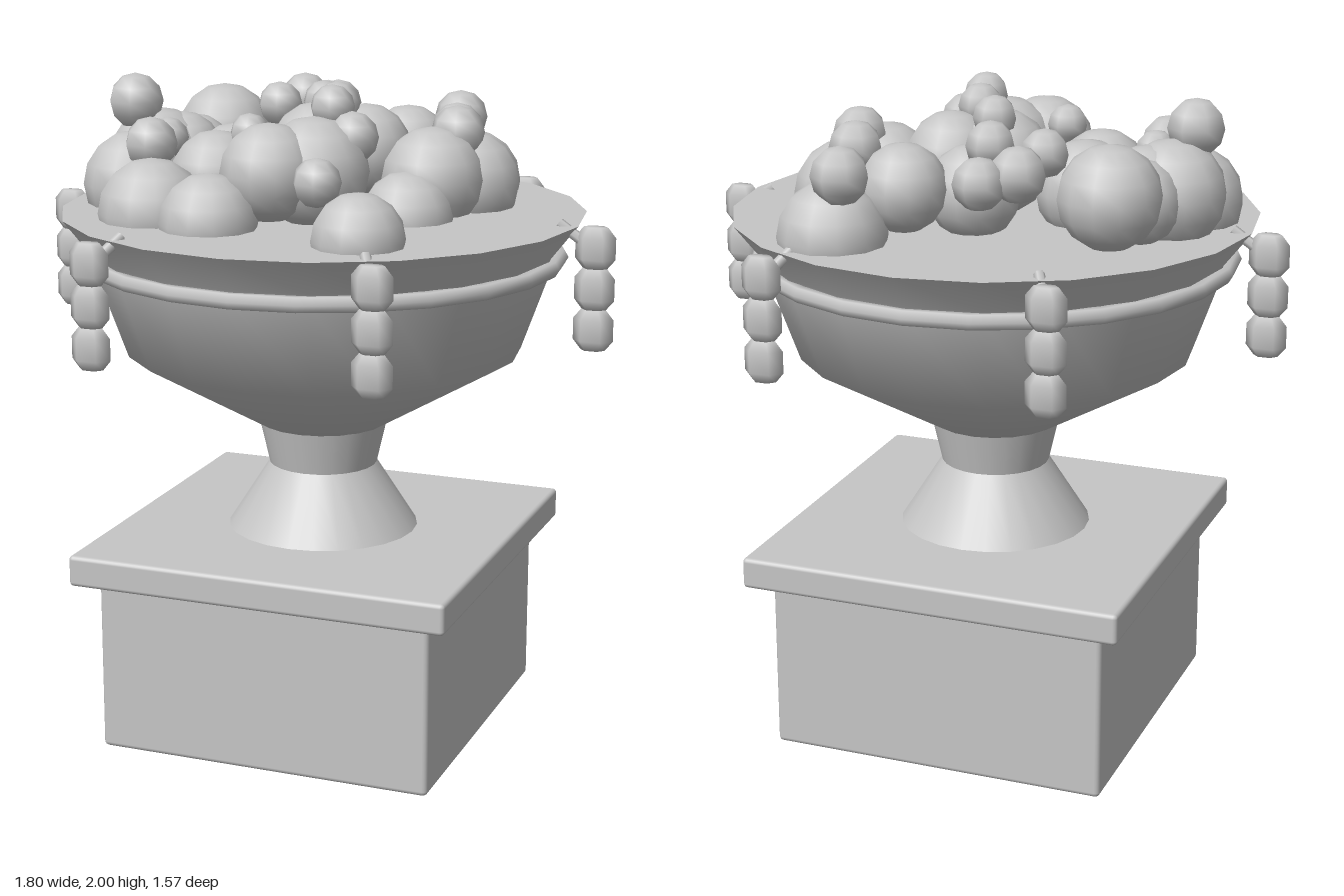
import * as THREE from 'three';
import { RoundedBoxGeometry } from 'three/addons/geometries/RoundedBoxGeometry.js';

export function createModel() {
  const group = new THREE.Group();
  const stone = new THREE.MeshStandardMaterial({ color: 0xc6c6c6 });
  stone.name = 'pale stone';

  const add = (name, geometry, x = 0, y = 0, z = 0, parent = group) => {
    const mesh = new THREE.Mesh(geometry, stone);
    mesh.name = name;
    mesh.position.set(x, y, z);
    parent.add(mesh);
    return mesh;
  };
  const lathe = (points, sides) =>
    new THREE.LatheGeometry(points.map(([r, y]) => new THREE.Vector2(r, y)), sides);

  // Square pedestal with a projecting cap
  add('pedestal', new RoundedBoxGeometry(1.04, 0.53, 1.04, 2, 0.015), 0, 0.265, 0);
  add('pedestalCap', new RoundedBoxGeometry(1.175, 0.095, 1.175, 2, 0.013), 0, 0.578, 0);

  // Flared foot and waist
  add('foot', lathe([[0.295, 0.62], [0.165, 0.825]], 24));
  add('stem', lathe([[0.165, 0.825], [0.195, 0.957]], 24));

  // Twenty-sided bowl, moulding, rim and flat top
  add('bowl', lathe([[0, 0.955], [0.195, 0.955], [0.6, 1.19], [0.7, 1.47]], 20));
  add('bowlMoulding', new THREE.TorusGeometry(0.71, 0.025, 6, 24).rotateX(Math.PI / 2), 0, 1.478, 0);
  add('rim', lathe([[0.695, 1.47], [0.705, 1.505], [0.787, 1.61]], 20));
  add('bowlTop', new THREE.CircleGeometry(0.787, 20).rotateX(-Math.PI / 2), 0, 1.61, 0);

  // Six hanging strands of faceted beads, each on a small slanted hook
  const bead = lathe([[0, -0.062], [0.036, -0.061], [0.06, -0.032], [0.06, 0.032], [0.036, 0.061], [0, 0.062]], 6)
    .rotateY(Math.PI / 6 * 3).scale(1, 1, 0.64);
  const hookPath = new THREE.LineCurve3(new THREE.Vector3(0.73, 1.617, 0), new THREE.Vector3(0.83, 1.55, 0));
  const hook = new THREE.TubeGeometry(hookPath, 1, 0.016, 6);
  for (let i = 0; i < 6; i++) {
    const a = i * Math.PI / 3;
    const strand = new THREE.Group();
    strand.name = 'beadStrand';
    group.add(strand);
    for (let j = 0; j < 3; j++)
      add('bead', bead, 0.84 * Math.cos(a), 1.552 - j * 0.121, 0.84 * Math.sin(a), strand);
    add('hook', hook, 0, 0, 0, strand).rotation.y = -a;
  }

  // Heaped fruit: x, y, z, radius
  const heap = (name, list, w, h) => {
    const unit = new THREE.SphereGeometry(1, w, h);
    for (const [x, y, z, r] of list) add(name, unit, x, y, z).scale.setScalar(r);
  };
  heap('largeFruit', [
    [-0.47, 1.77, -0.35, 0.15], [0.3, 1.63, -0.51, 0.16], [0.14, 1.75, -0.37, 0.13],
    [0.39, 1.68, -0.21, 0.155], [0.32, 1.71, -0.07, 0.155], [0.285, 1.61, 0.06, 0.14],
    [-0.03, 1.77, -0.04, 0.155], [0.1, 1.78, -0.09, 0.14], [-0.02, 1.72, -0.23, 0.14],
    [-0.29, 1.7, -0.02, 0.15], [-0.29, 1.71, 0.13, 0.14], [-0.06, 1.76, 0.28, 0.145],
    [0.04, 1.75, 0.18, 0.165], [-0.2, 1.625, 0.4, 0.145], [-0.41, 1.63, 0.33, 0.16],
    [0.29, 1.625, 0.485, 0.135],
  ], 12, 8);
  heap('mediumFruit', [
    [-0.57, 1.67, 0.1, 0.16], [-0.56, 1.72, -0.05, 0.16],
    [-0.5, 1.74, -0.09, 0.125], [-0.5, 1.72, -0.18, 0.125],
  ], 12, 8);
  heap('smallFruit', [
    [-0.61, 1.905, 0.01, 0.085], [0.245, 1.82, -0.57, 0.085], [0.33, 1.83, -0.27, 0.08],
    [0.375, 1.84, -0.135, 0.082], [-0.27, 1.86, -0.54, 0.08], [-0.18, 1.84, -0.6, 0.075],
    [-0.265, 1.87, -0.31, 0.07], [-0.105, 1.88, -0.315, 0.072], [-0.04, 1.915, -0.11, 0.065],
    [0.04, 1.925, -0.015, 0.067], [0.07, 1.933, 0.11, 0.067], [0.14, 1.85, 0.13, 0.078],
    [-0.17, 1.85, 0.16, 0.06], [-0.47, 1.81, 0.08, 0.062], [-0.47, 1.81, 0.205, 0.08],
    [0.12, 1.755, 0.365, 0.072],
  ], 7, 6);

  return group;
}
